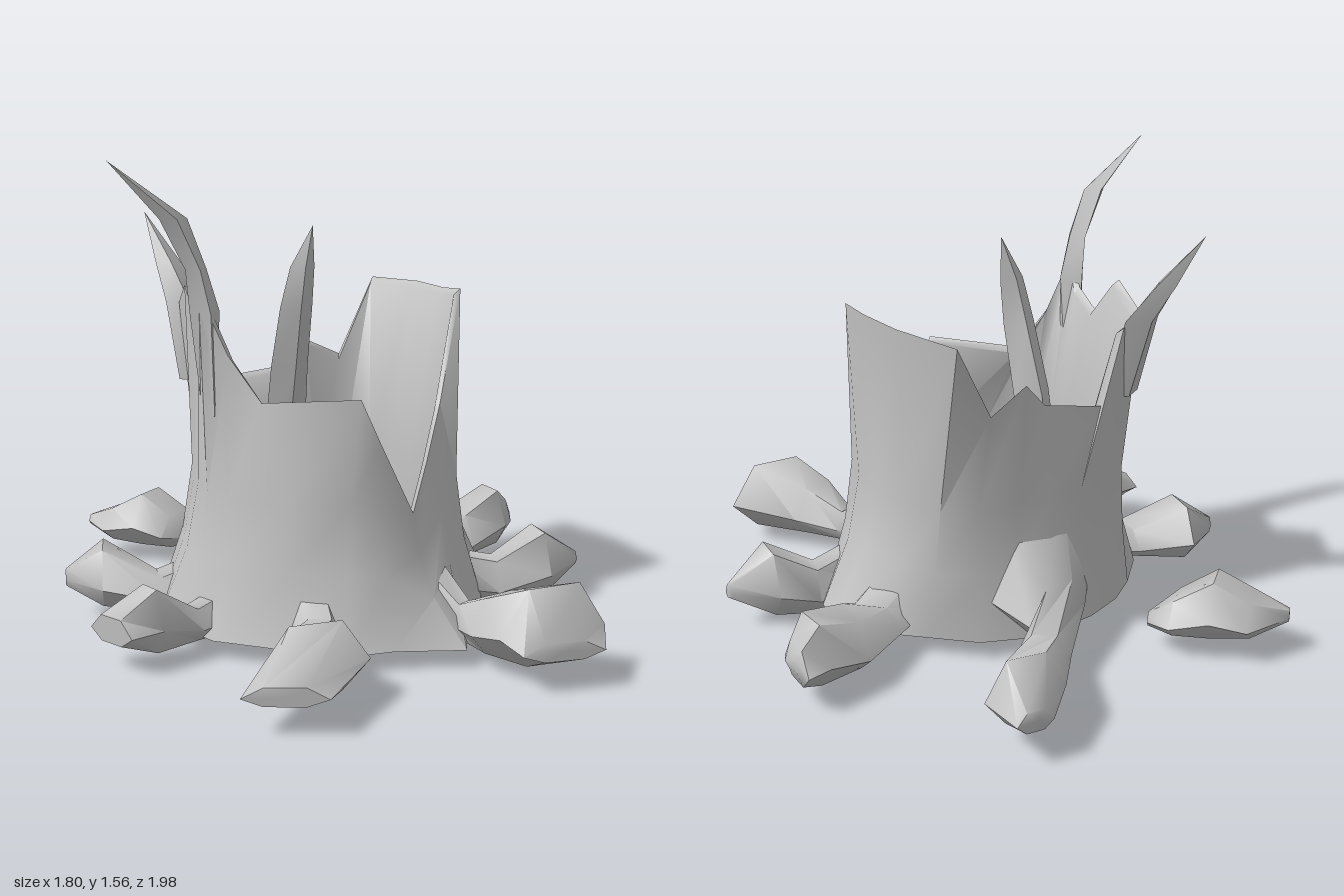
import * as THREE from 'three';
import { toCreasedNormals } from 'three/addons/utils/BufferGeometryUtils.js';

const wood = new THREE.MeshStandardMaterial({ color: 0xc2c2c2, side: THREE.DoubleSide });
wood.name = 'greyWood';

// Skin a list of closed rings; each ring is a list of [x, y, z]
function loft(name, rings, crease) {
  const n = rings[0].length, index = [];
  for (let j = 0; j < rings.length - 1; j++) {
    for (let i = 0; i < n; i++) {
      const a = j * n + i, b = j * n + (i + 1) % n;
      index.push(a, a + n, b, b, a + n, b + n);
    }
  }
  const g = new THREE.BufferGeometry();
  g.setAttribute('position', new THREE.Float32BufferAttribute(rings.flat(2), 3));
  g.setIndex(index);
  const mesh = new THREE.Mesh(toCreasedNormals(g, crease), wood);
  mesh.name = name;
  return mesh;
}

// Hollow trunk columns: base x,z / waist x,z / rim x,y,z
const columns = [
  [0.60, -0.03, 0.40, 0.00, 0.43, 1.10, 0.00],
  [0.56, 0.11, 0.40, 0.12, 0.43, 1.11, 0.12],
  [0.44, 0.29, 0.35, 0.26, 0.31, 0.74, 0.21],
  [0.31, 0.42, 0.24, 0.37, 0.20, 0.58, 0.33],
  [0.16, 0.69, 0.11, 0.46, 0.10, 0.44, 0.43],
  [-0.05, 0.61, -0.02, 0.48, -0.02, 0.68, 0.44],
  [-0.20, 0.59, -0.13, 0.45, -0.09, 0.83, 0.44],
  [-0.36, 0.46, -0.31, 0.38, -0.34, 0.80, 0.23],
  [-0.54, 0.30, -0.45, 0.22, -0.43, 0.95, 0.17],
  [-0.60, 0.15, -0.49, 0.12, -0.51, 1.15, 0.13],
  [-0.62, 0.00, -0.48, 0.00, -0.47, 1.05, 0.04],
  [-0.59, -0.10, -0.45, -0.13, -0.44, 1.00, -0.09],
  [-0.55, -0.22, -0.42, -0.25, -0.45, 1.13, -0.20],
  [-0.42, -0.34, -0.38, -0.33, -0.42, 1.05, -0.36],
  [-0.30, -0.42, -0.28, -0.38, -0.31, 1.03, -0.40],
  [-0.15, -0.47, -0.16, -0.39, -0.24, 0.77, -0.38],
  [0.00, -0.48, -0.02, -0.40, -0.04, 0.80, -0.34],
  [0.12, -0.47, 0.10, -0.39, 0.05, 0.89, -0.36],
  [0.26, -0.41, 0.24, -0.37, 0.20, 0.82, -0.38],
  [0.39, -0.28, 0.34, -0.30, 0.37, 1.09, -0.45],
  [0.48, -0.19, 0.39, -0.15, 0.43, 1.10, -0.20],
];

function trunk() {
  const cx = -0.02, cz = 0.03;
  const inward = (x, y, z, k) => [cx + (x - cx) * k, y, cz + (z - cz) * k];
  const waistY = c => Math.min(0.5, c[5] * 0.7);
  // The wall is thinner towards the front
  const bore = c => 0.76 + 0.18 * Math.max(0, c[3]);
  const level = f => columns.map(f);
  return loft('trunk', [
    level(c => [c[0], 0.06, c[1]]),
    level(c => [c[2] + (c[0] - c[2]) * 0.32, waistY(c) * 0.5 + 0.03, c[3] + (c[1] - c[3]) * 0.32]),
    level(c => [c[2], waistY(c), c[3]]),
    level(c => [c[4], c[5], c[6]]),
    level(c => inward(c[4], c[5] - 0.02, c[6], 0.95)),
    level(c => inward(c[2], waistY(c), c[3], bore(c))),
    level(c => inward(c[2], 0.06, c[3], bore(c) + 0.08)),
    level(c => [c[0], 0.06, c[1]]),
  ], 0.9);
}

// Splinter along [x, y, z, half width x, half width z]
function splinter(name, path) {
  return loft(name, path.map(([x, y, z, a, b]) =>
    [[x + a, y, z], [x, y, z + b], [x - a, y, z], [x, y, z - b]]), 0.8);
}

// Root along rows of [right x, right z, left x, left z, bottom y, top y], looking outward
const section = [[1, 0.38], [0.74, 0.95], [0.26, 0.95], [0, 0.38], [0.26, 0], [0.74, 0]];
function root(name, path) {
  const rings = path.map(([rx, rz, lx, lz, lo, hi]) => section.map(([t, v]) =>
    [lx + (rx - lx) * t, lo + (hi - lo) * v, lz + (rz - lz) * t]));
  // Both ends close on their middle
  const cap = ([rx, rz, lx, lz, lo, hi]) =>
    section.map(() => [(rx + lx) / 2, (lo + hi) / 2, (rz + lz) / 2]);
  return loft(name, [cap(path[0]), ...rings, cap(path[path.length - 1])], 1);
}

const roots = {
  leftBackRoot: [[0.46, -0.03, 0.34, -0.22, 0.05, 0.24], [0.59, -0.07, 0.45, -0.25, 0.04, 0.17],
    [0.62, -0.08, 0.65, -0.38, 0.04, 0.21], [0.81, -0.17, 0.80, -0.40, 0.05, 0.27],
    [0.87, -0.23, 0.88, -0.41, 0.08, 0.21], [0.90, -0.29, 0.89, -0.38, 0.13, 0.17]],
  leftFrontRoot: [[0.34, 0.29, 0.38, 0.12, 0.03, 0.22], [0.51, 0.30, 0.56, 0.12, 0.00, 0.17],
    [0.68, 0.36, 0.71, 0.12, 0.03, 0.27], [0.85, 0.26, 0.84, 0.23, 0.11, 0.16]],
  frontLeftRoot: [[0.10, 0.44, 0.26, 0.38, 0.06, 0.27], [0.17, 0.58, 0.27, 0.54, 0.05, 0.17],
    [0.15, 0.73, 0.385, 0.66, 0.05, 0.24], [0.18, 0.85, 0.55, 0.86, 0.05, 0.31],
    [0.21, 0.94, 0.47, 0.985, 0.10, 0.16]],
  frontRightRoot: [[-0.34, 0.37, -0.16, 0.43, 0.06, 0.24], [-0.34, 0.50, -0.20, 0.56, 0.05, 0.18],
    [-0.45, 0.62, -0.22, 0.62, 0.05, 0.20], [-0.55, 0.74, -0.21, 0.77, 0.04, 0.27],
    [-0.65, 0.85, -0.42, 0.955, 0.09, 0.15]],
  rightFrontRoot: [[-0.43, 0.12, -0.40, 0.27, 0.06, 0.22], [-0.60, 0.165, -0.56, 0.28, 0.05, 0.16],
    [-0.75, 0.17, -0.70, 0.315, 0.04, 0.26], [-0.90, 0.18, -0.815, 0.345, 0.09, 0.18]],
  rightBackRoot: [[-0.40, -0.20, -0.43, 0.00, 0.06, 0.22], [-0.57, -0.23, -0.61, -0.02, 0.05, 0.16],
    [-0.715, -0.36, -0.79, -0.10, 0.05, 0.26], [-0.87, -0.28, -0.88, -0.25, 0.11, 0.17]],
  backRoot: [[0.24, -0.34, -0.25, -0.34, 0.06, 0.46], [0.15, -0.54, -0.10, -0.50, 0.06, 0.26],
    [0.25, -0.60, 0.11, -0.70, 0.06, 0.18], [0.53, -0.83, 0.27, -0.88, 0.06, 0.28],
    [0.52, -0.98, 0.40, -0.995, 0.11, 0.18]],
  looseRoot: [[-0.235, -0.66, -0.27, -0.625, 0.08, 0.12], [-0.24, -0.755, -0.43, -0.625, 0.06, 0.19],
    [-0.33, -0.845, -0.52, -0.70, 0.06, 0.27], [-0.42, -0.93, -0.615, -0.78, 0.07, 0.20],
    [-0.60, -0.94, -0.635, -0.91, 0.11, 0.15]],
};

export function createModel() {
  const model = new THREE.Group();
  model.name = 'treeStump';
  model.add(trunk());

  // Broken splinters on the rim
  model.add(
    splinter('tallSplinter', [
      [-0.47, 0.75, 0.09, 0.02, 0.06], [-0.48, 1.08, 0.10, 0.05, 0.06],
      [-0.51, 1.22, 0.11, 0.035, 0.045], [-0.58, 1.38, 0.11, 0.045, 0.04],
      [-0.78, 1.56, 0.09, 0, 0]]),
    splinter('backSplinter', [
      [-0.36, 0.78, -0.34, 0.07, 0.04], [-0.385, 1.05, -0.40, 0.07, 0.05],
      [-0.42, 1.18, -0.48, 0.045, 0.04], [-0.47, 1.35, -0.59, 0, 0]]),
    splinter('innerSplinter', [
      [-0.05, 0.50, -0.31, 0.08, 0.04], [-0.05, 0.82, -0.25, 0.07, 0.06],
      [-0.06, 1.04, -0.16, 0.06, 0.045], [-0.045, 1.18, -0.14, 0.045, 0.03],
      [-0.01, 1.32, -0.13, 0, 0]]),
  );

  // Spreading roots
  for (const [name, path] of Object.entries(roots)) model.add(root(name, path));
  return model;
}
